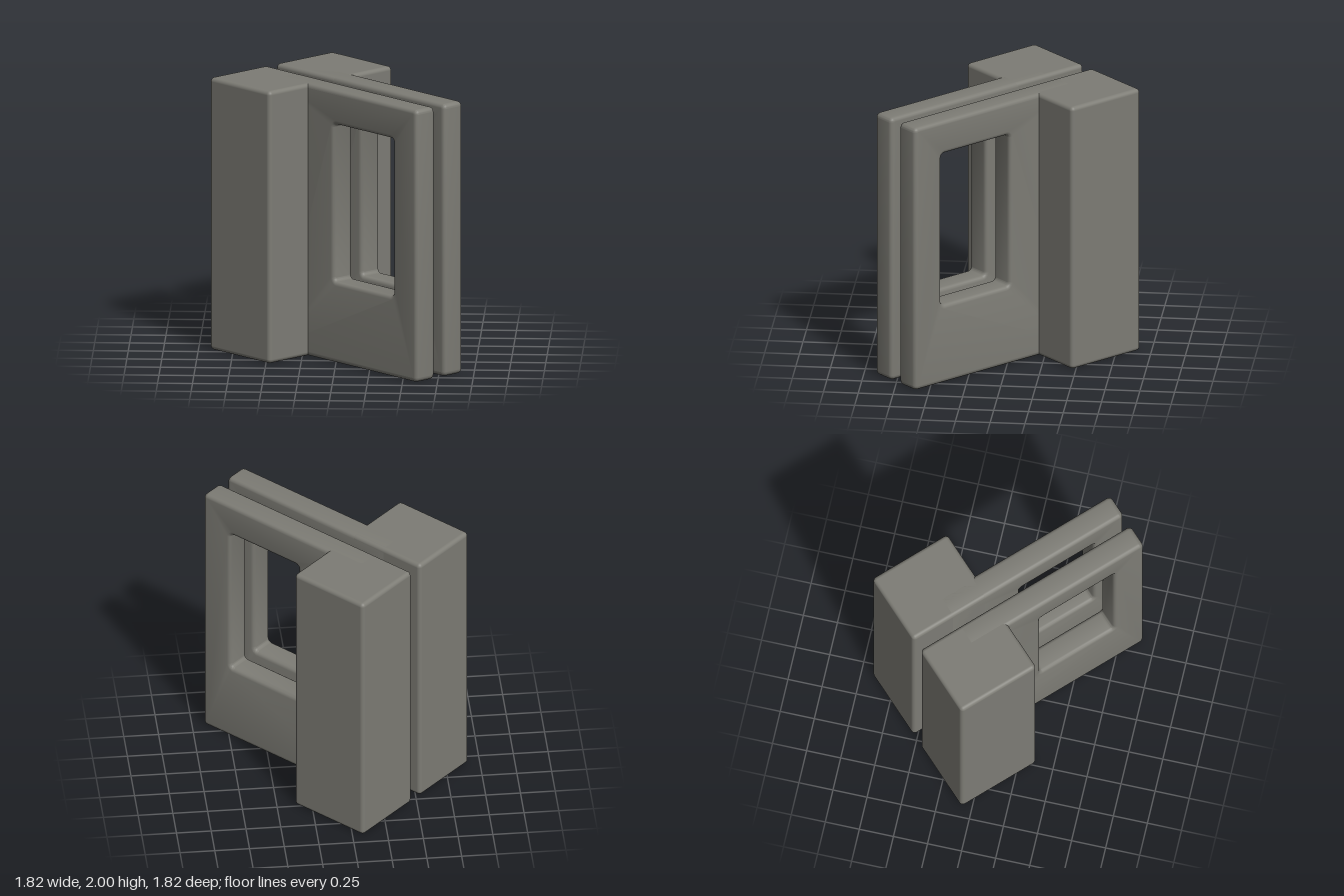
import * as THREE from 'three';
import { toCreasedNormals } from 'three/addons/utils/BufferGeometryUtils.js';
import { RoundedBoxGeometry } from 'three/addons/geometries/RoundedBoxGeometry.js';

const HEIGHT = 2;
const EDGE = 0.03; // radius of the softened edges

// Trace a rectangle with rounded corners on a Shape or Path
function roundedRect(path, x0, y0, x1, y1, r) {
  path.moveTo(x0 + r, y0);
  path.lineTo(x1 - r, y0);
  path.absarc(x1 - r, y0 + r, r, -Math.PI / 2, 0);
  path.lineTo(x1, y1 - r);
  path.absarc(x1 - r, y1 - r, r, 0, Math.PI / 2);
  path.lineTo(x0 + r, y1);
  path.absarc(x0 + r, y1 - r, r, Math.PI / 2, Math.PI);
  path.lineTo(x0, y0 + r);
  path.absarc(x0 + r, y0 + r, r, Math.PI, Math.PI * 1.5);
  return path;
}

// Thin slab with a window, centred on its own thickness
function panelGeometry(thickness) {
  const shape = roundedRect(new THREE.Shape(), -0.4, 0, 1.075, HEIGHT, EDGE + 0.005);
  shape.holes.push(roundedRect(new THREE.Path(), 0.2, 0.595, 0.825, 1.75, EDGE));
  const geometry = new THREE.ExtrudeGeometry(shape, {
    depth: thickness - 2 * EDGE,
    bevelThickness: EDGE,
    bevelSize: EDGE,
    bevelOffset: -EDGE,
    bevelSegments: 4,
    curveSegments: 5,
  });
  geometry.translate(0, 0, EDGE - thickness / 2);
  return toCreasedNormals(geometry, 0.6);
}

export function createModel() {
  const model = new THREE.Group();
  model.name = 'windowedBracketPair';
  const stone = new THREE.MeshStandardMaterial({ color: 0x7d7c75 });
  stone.name = 'warm grey';

  const inner = 0.045, panelOuter = 0.225, blockOuter = 0.6;
  const panelGeo = panelGeometry(panelOuter - inner);
  const blockGeo = new RoundedBoxGeometry(0.635, HEIGHT, blockOuter - inner, 4, EDGE);

  // Two facing halves separated by a narrow gap
  for (const [side, label] of [[1, 'right'], [-1, 'left']]) {
    const half = new THREE.Group();
    half.name = label + 'Half';

    const panel = new THREE.Mesh(panelGeo, stone);
    panel.name = label + 'WindowPanel';
    panel.position.z = side * (inner + panelOuter) / 2;

    const block = new THREE.Mesh(blockGeo, stone);
    block.name = label + 'EndBlock';
    block.position.set(-0.3875, HEIGHT / 2, side * (inner + blockOuter) / 2);

    half.add(panel, block);
    model.add(half);
  }

  // The pair stands diagonally
  model.rotation.y = -Math.PI / 4;
  const root = new THREE.Group();
  root.name = 'bracketPair';
  root.add(model);
  return root;
}
